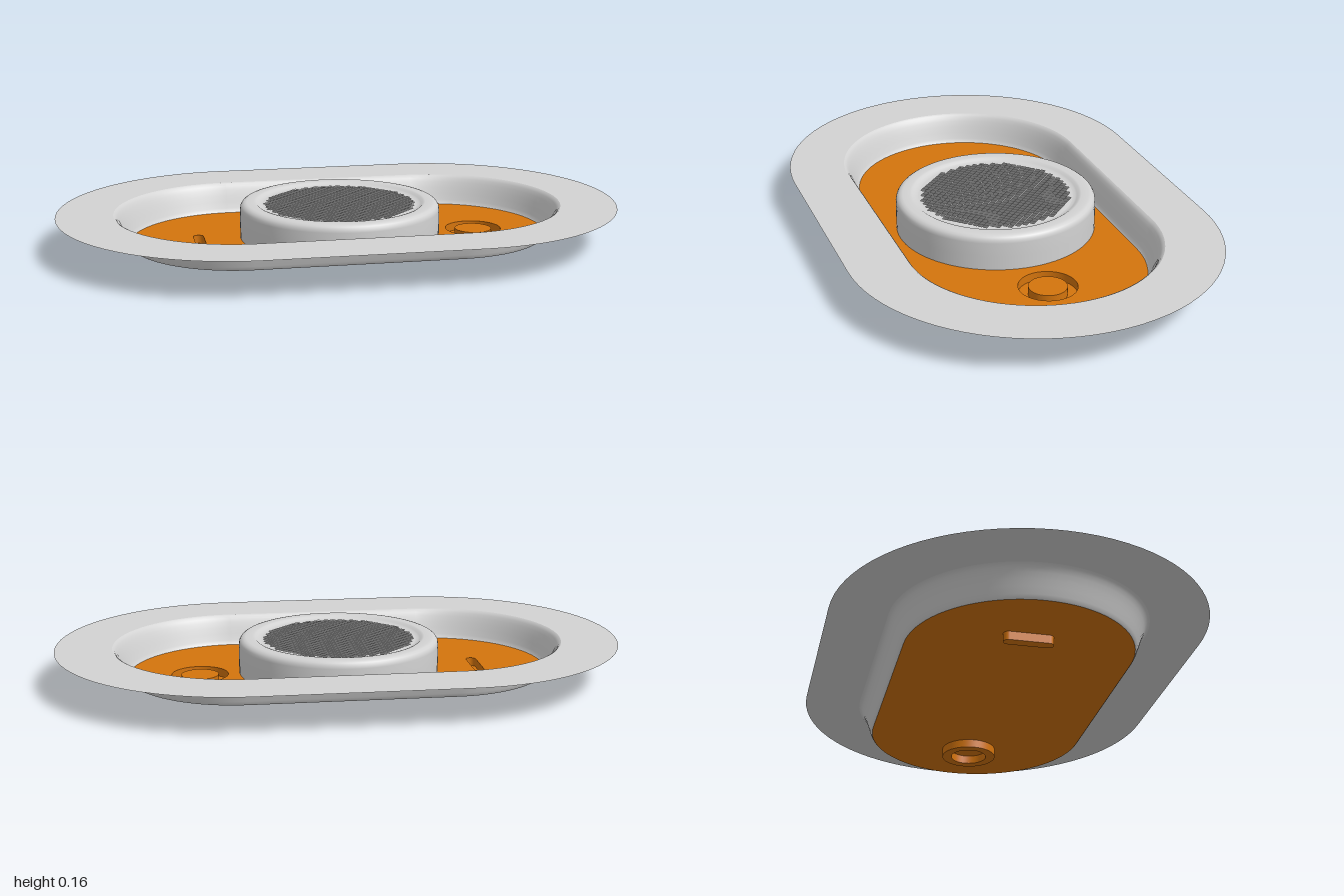
import * as THREE from 'three';

const HALF = 0.357;        // half length of the tray's straight sides
const RIM_Y = 0.135;
const FLOOR_Y = 0.03;

// Outline with round ends: radius r, straight half length h along x (or along z)
function outline(r, h, cx = 0, alongZ = false, n = 40) {
  const pts = [];
  for (let end = 0; end < 2; end++) {
    for (let i = 0; i <= n; i++) {
      const a = -Math.PI / 2 + Math.PI * (end + i / n);
      const u = (end ? -h : h) + r * Math.cos(a);
      const v = r * Math.sin(a);
      pts.push(alongZ ? new THREE.Vector2(cx - v, u) : new THREE.Vector2(cx + u, v));
    }
  }
  return pts;
}

// Flat upward-facing sheet with optional holes
function sheet(points, holes, y) {
  const shape = new THREE.Shape(points);
  shape.holes = holes.map((h) => new THREE.Path(h));
  return new THREE.ShapeGeometry(shape).rotateX(-Math.PI / 2).translate(0, y, 0);
}

// Surface through a profile of [radius, y] pairs swept round the outline
function sweep(profile, h, cx = 0, alongZ = false) {
  const pos = [], index = [];
  let count = 0;
  for (const [r, y] of profile) {
    const loop = outline(r, h, cx, alongZ);
    count = loop.length;
    for (const p of loop) pos.push(p.x, y, -p.y);
  }
  for (let k = 0; k < profile.length - 1; k++) {
    for (let i = 0; i < count; i++) {
      const j = (i + 1) % count;
      const a = k * count + i, b = k * count + j;
      index.push(a, b, a + count, b, b + count, a + count);
    }
  }
  const g = new THREE.BufferGeometry();
  g.setAttribute('position', new THREE.Float32BufferAttribute(pos, 3));
  g.setIndex(index);
  g.computeVertexNormals();
  return g;
}

export function createModel() {
  const model = new THREE.Group();
  const material = (name, color) => {
    const m = new THREE.MeshStandardMaterial({ color, side: THREE.DoubleSide });
    m.name = name;
    return m;
  };
  const grey = material('light grey', 0xd2d2d2);
  const orange = material('orange', 0xd4740d);
  const dark = material('grille grey', 0x686868);
  const add = (name, geometry, mat) => {
    const mesh = new THREE.Mesh(geometry, mat);
    mesh.name = name;
    model.add(mesh);
  };

  // Flange and softly curved tray wall
  add('flange', sheet(outline(0.643, HALF), [outline(0.443, HALF)], RIM_Y), grey);
  add('trayWall', sweep([
    [0.39, FLOOR_Y], [0.394, 0.034], [0.399, 0.045], [0.407, 0.068], [0.415, 0.09],
    [0.423, 0.11], [0.43, 0.123], [0.436, 0.131], [0.443, RIM_Y],
  ].reverse(), HALF), grey);

  // Floor with a ring groove and a slot sunk below it
  const ringX = 0.495, slotX = -0.5;
  const ringOuter = outline(0.1, 0, ringX), ringInner = outline(0.066, 0, ringX);
  const slot = outline(0.018, 0.067, slotX, true);
  add('floor', sheet(outline(0.39, HALF), [ringOuter, slot], FLOOR_Y), orange);
  add('ringCentre', sheet(ringInner, [], FLOOR_Y), orange);
  add('ringBottom', sheet(ringOuter, [ringInner], 0), orange);
  add('ringOuterWall', sweep([[0.1, FLOOR_Y], [0.1, 0]], 0, ringX), orange);
  add('ringInnerWall', sweep([[0.066, 0], [0.066, FLOOR_Y]], 0, ringX), orange);
  add('slotBottom', sheet(slot, [], 0), orange);
  add('slotWall', sweep([[0.018, FLOOR_Y], [0.018, 0]], 0.067, slotX, true), orange);

  // Round housing with a rounded shoulder and a shallow dished top
  const housing = [
    [0.355, FLOOR_Y + 0.001], [0.355, 0.08], [0.355, 0.13], [0.353, 0.141], [0.348, 0.149],
    [0.34, 0.1545], [0.33, 0.157], [0.305, 0.157], [0.297, 0.155], [0.29, 0.15],
    [0.283, 0.147], [0.275, 0.146],
  ].map(([r, y]) => new THREE.Vector2(r, y));
  add('housing', new THREE.LatheGeometry(housing, 96), grey);

  // Grille: sheet pierced by staggered diamond holes over a dark backing
  const pitch = 0.027, size = 0.0108, holes = [];
  for (let row = -20; row <= 20; row++) {
    for (let col = -11; col <= 11; col++) {
      const x = (col + (row % 2 ? 0.5 : 0)) * pitch;
      const y = row * pitch / 2;
      if (Math.hypot(x, y) > 0.262) continue;
      holes.push([[size, 0], [0, size], [-size, 0], [0, -size]]
        .map(([dx, dy]) => new THREE.Vector2(x + dx, y + dy)));
    }
  }
  add('grille', sheet(outline(0.276, 0), holes, 0.146), grey);
  add('grilleBacking', new THREE.CircleGeometry(0.276, 64)
    .rotateX(-Math.PI / 2).translate(0, 0.141, 0), dark);

  return model;
}
